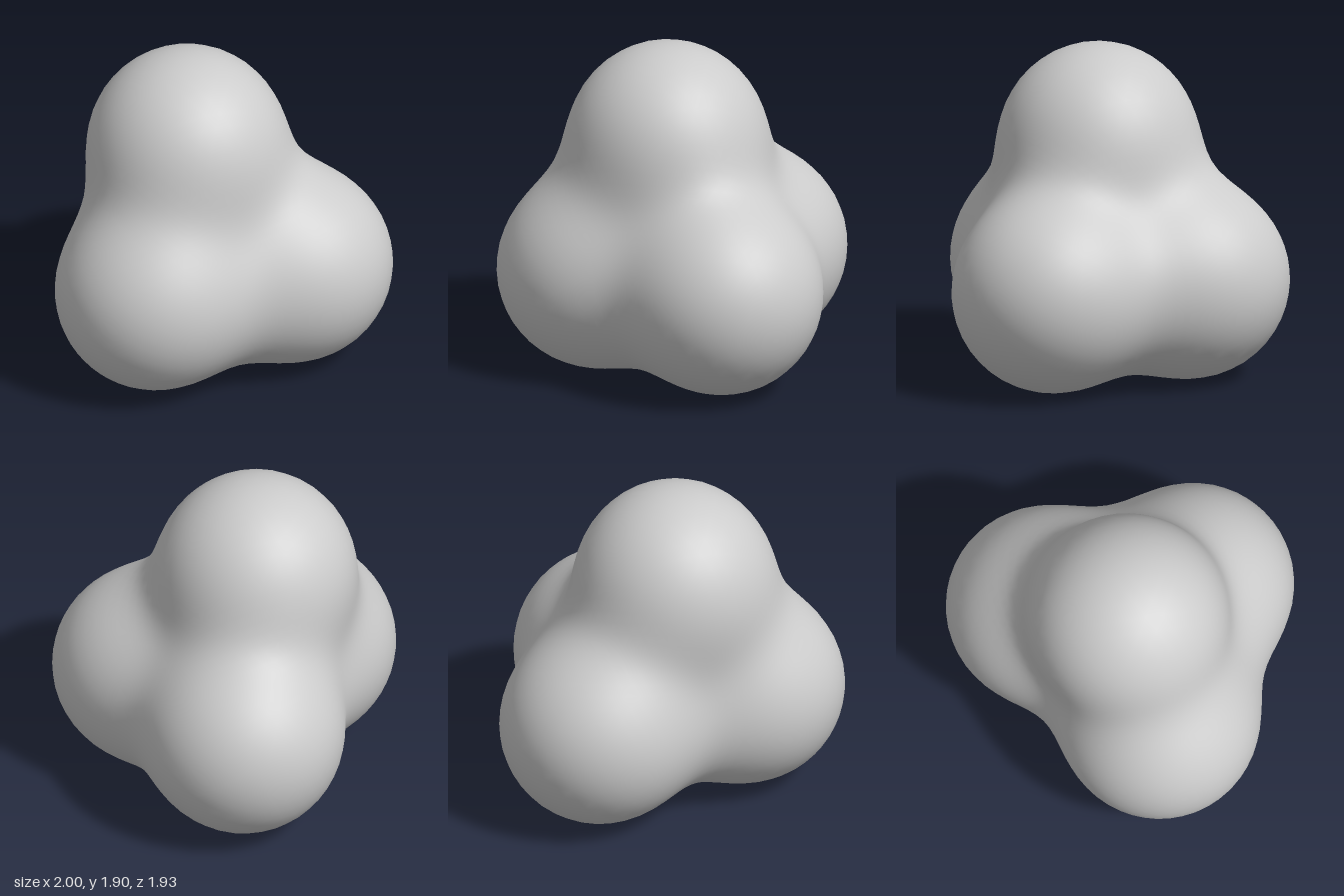
import * as THREE from 'three';
import { mergeVertices } from 'three/addons/utils/BufferGeometryUtils.js';

// Four equal lobes in a tetrahedral cluster, melted into one smooth skin
const LOBES = [
  [0.43, 0.57, -0.395], // back left
  [-0.43, 0.57, -0.395], // back right
  [0.1, 0.57, 0.39], // front
  [-0.03, 1.33, 0], // top
].map((p) => new THREE.Vector3(...p));
const RADIUS = 0.57;
const FALLOFF = 5.7;
const LEVEL = Math.exp(-FALLOFF * RADIUS * RADIUS);

// Summed soft field of the lobes; the skin lies where it equals LEVEL
const field = (p) =>
  LOBES.reduce((sum, c) => sum + Math.exp(-FALLOFF * p.distanceToSquared(c)), 0);

export function createModel() {
  const group = new THREE.Group();
  group.name = 'lobedCluster';

  const sphere = new THREE.IcosahedronGeometry(1, 14);
  sphere.deleteAttribute('normal');
  sphere.deleteAttribute('uv');
  const geometry = mergeVertices(sphere, 1e-4);

  // Push every sphere vertex along its ray onto the skin
  const centre = new THREE.Vector3(0, 0.75, -0.1);
  const pos = geometry.attributes.position;
  const dir = new THREE.Vector3();
  const point = new THREE.Vector3();
  for (let i = 0; i < pos.count; i++) {
    dir.fromBufferAttribute(pos, i).normalize();
    let inside = 0;
    let outside = 2;
    for (let step = 0; step < 24; step++) {
      const mid = (inside + outside) / 2;
      point.copy(centre).addScaledVector(dir, mid);
      if (field(point) > LEVEL) inside = mid;
      else outside = mid;
    }
    pos.setXYZ(i, point.x, point.y, point.z);
  }
  geometry.computeVertexNormals();

  // Rest the skin on the ground
  geometry.computeBoundingBox();
  geometry.translate(0, -geometry.boundingBox.min.y, 0);

  const skin = new THREE.Mesh(geometry, new THREE.MeshStandardMaterial({ color: 0xcccccc }));
  skin.name = 'blendedLobes';
  group.add(skin);
  return group;
}
